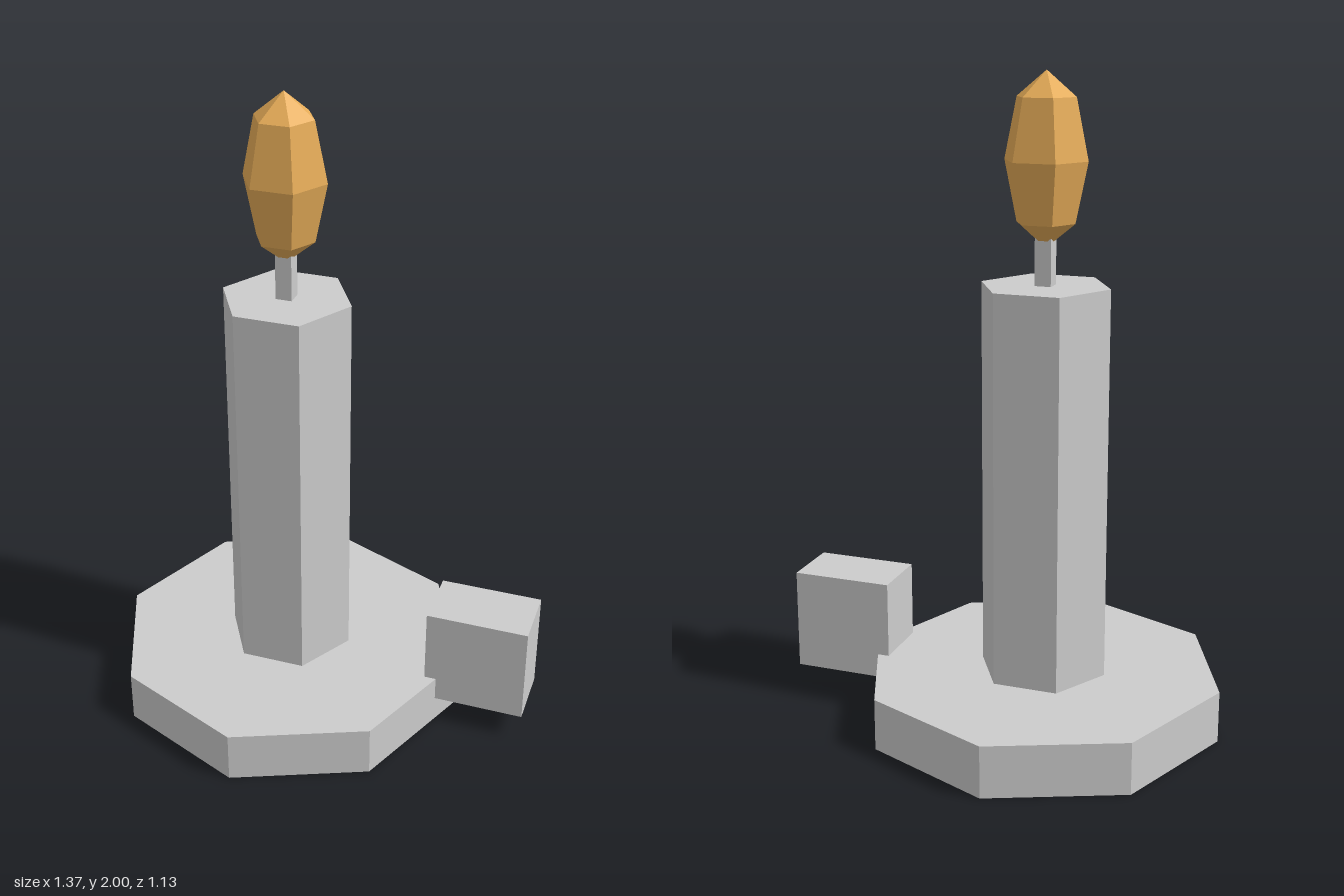
import * as THREE from 'three';

export function createModel() {
  const group = new THREE.Group();
  const grey = new THREE.MeshStandardMaterial({ color: 0xcccccc, flatShading: true });
  grey.name = 'grey';
  const amber = new THREE.MeshStandardMaterial({ color: 0xe6ac58, flatShading: true });
  amber.name = 'amber';

  const axisX = -0.122; // shared axis of dish, candle, wick and flame

  const add = (name, geometry, material, x, y) => {
    const mesh = new THREE.Mesh(geometry, material);
    mesh.name = name;
    mesh.position.set(x, y, 0);
    group.add(mesh);
    return mesh;
  };

  // Octagonal dish
  add('dish', new THREE.CylinderGeometry(0.565, 0.565, 0.163, 8), grey, axisX, 0.0815);

  // Block handle, overlapping the dish rim
  add('handle', new THREE.BoxGeometry(0.32, 0.32, 0.196), grey, 0.525, 0.245);

  // Hexagonal candle with corners pointing left and right
  const candle = new THREE.CylinderGeometry(0.201, 0.201, 1.24, 6).rotateY(Math.PI / 2);
  add('candle', candle, grey, axisX, 0.76);

  // Square wick
  add('wick', new THREE.BoxGeometry(0.05, 0.2, 0.05), grey, axisX, 1.43);

  // Faceted flame
  const flame = new THREE.SphereGeometry(1, 6, 4).scale(0.128, 0.255, 0.128);
  add('flame', flame, amber, axisX, 1.745);

  return group;
}
